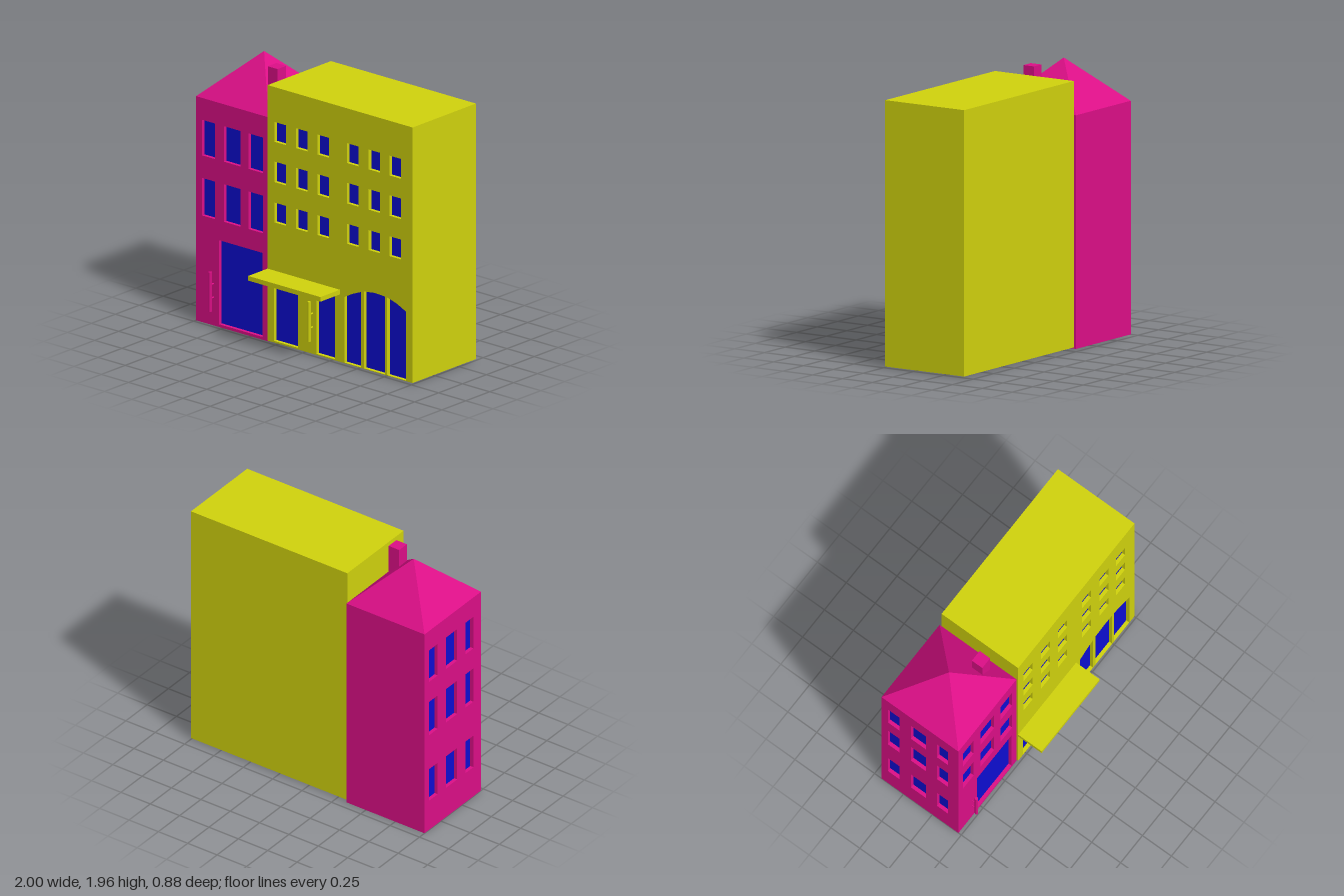
import * as THREE from 'three';

const mat = (name, color) => {
  const m = new THREE.MeshStandardMaterial({ color });
  m.name = name;
  return m;
};

export function createModel() {
  const model = new THREE.Group();
  const pink = mat('pink wall', 0xdc0f87);
  const yellow = mat('yellow wall', 0xd0d20d);
  const blue = mat('blue glass', 0x0d0dd2);
  const RECESS = 0.03;

  const add = (parent, name, geometry, material) => {
    const mesh = new THREE.Mesh(geometry, material);
    mesh.name = name;
    parent.add(mesh);
    return mesh;
  };
  // Box given by its min and max corners
  const box = (parent, name, material, x0, x1, y0, y1, z0, z1) => {
    const mesh = add(parent, name, new THREE.BoxGeometry(x1 - x0, y1 - y0, z1 - z0), material);
    mesh.position.set((x0 + x1) / 2, (y0 + y1) / 2, (z0 + z1) / 2);
    return mesh;
  };
  const rect = (x0, x1, y0, y1) => [[x0, y0], [x1, y0], [x1, y1], [x0, y1]];
  const toPoints = (outline) => outline.map(([x, y]) => new THREE.Vector2(x, y));

  // Wall slab with openings cut through and a glass pane at the back of each
  const facade = (name, outline, openings, material) => {
    const group = new THREE.Group();
    group.name = name;
    const shape = new THREE.Shape(toPoints(outline));
    openings.forEach((o) => shape.holes.push(new THREE.Path(toPoints(o))));
    add(group, 'wall', new THREE.ExtrudeGeometry(shape, { depth: RECESS, bevelEnabled: false }), material);
    openings.forEach((o) => {
      const pane = add(group, 'pane', new THREE.ShapeGeometry(new THREE.Shape(toPoints(o))), blue);
      pane.position.z = 0.003;
    });
    model.add(group);
    return group;
  };
  // Every column crossed with every row
  const grid = (columns, rows) =>
    rows.flatMap(([y0, y1]) => columns.map(([x0, x1]) => rect(x0, x1, y0, y1)));

  // Upright door handle on two brackets
  const handle = (name, x, wallZ, material) => {
    const group = new THREE.Group();
    group.name = name;
    const bar = add(group, 'bar', new THREE.CylinderGeometry(0.012, 0.012, 0.29, 12), material);
    bar.position.set(x, 0.255, wallZ + 0.035);
    for (const y of [0.205, 0.305]) {
      const bracket = add(group, 'bracket', new THREE.CylinderGeometry(0.007, 0.007, 0.035, 8), material);
      bracket.rotation.x = Math.PI / 2;
      bracket.position.set(x, y, wallZ + 0.0175);
    }
    model.add(group);
  };

  // Pink house
  const pinkRows = [[0.78, 1.055], [1.22, 1.48]];
  box(model, 'pinkHouseBody', pink, -1 + RECESS, -0.335, 0, 1.64, -0.44, 0.225 - RECESS);
  facade('pinkHouseFront', rect(-1, -0.335, 0, 1.64), [
    ...grid([[-0.945, -0.825], [-0.745, -0.59], [-0.52, -0.385]], pinkRows),
    rect(-0.79, -0.39, 0.02, 0.635),
  ], pink).position.z = 0.225 - RECESS;

  const side = facade('pinkHouseSide', rect(-0.44, 0.225 - RECESS, 0, 1.64),
    grid([[-0.385, -0.285], [-0.185, -0.055], [0.04, 0.135]], [[0.24, 0.5], ...pinkRows]), pink);
  side.rotation.y = -Math.PI / 2;
  side.position.x = -1 + RECESS;

  // Four-sided roof and chimney
  const roofGeometry = new THREE.ConeGeometry(0.665 / Math.SQRT2, 0.32, 4).toNonIndexed();
  roofGeometry.rotateY(Math.PI / 4);
  roofGeometry.computeVertexNormals();
  add(model, 'roof', roofGeometry, pink).position.set(-0.6675, 1.8, -0.1075);
  box(model, 'chimney', pink, -0.495, -0.405, 1.6, 1.93, -0.04, 0.05);
  handle('pinkDoorHandle', -0.84, 0.225, pink);

  // Yellow building
  box(model, 'yellowBuildingBody', yellow, -0.332, 1, 0.01, 1.88, -0.425, 0.237 - RECESS);
  const columns = [-0.27, -0.07, 0.125, 0.397, 0.597, 0.787].map((x) => [x, x + 0.105]);
  facade('yellowBuildingFront', rect(-0.332, 1, 0.01, 1.88), [
    ...grid(columns, [[0.89, 1.035], [1.185, 1.335], [1.48, 1.625]]),
    rect(-0.275, -0.055, 0.022, 0.48),
    rect(0.115, 0.285, 0.018, 0.485),
    // Three-part arched shop window
    [[0.375, 0.014], [0.525, 0.014], [0.525, 0.565], [0.45, 0.535], [0.375, 0.495]],
    [[0.552, 0.014], [0.745, 0.014], [0.745, 0.584], [0.65, 0.588], [0.552, 0.576]],
    [[0.767, 0.014], [0.94, 0.014], [0.94, 0.518], [0.855, 0.557], [0.767, 0.582]],
  ], yellow).position.z = 0.237 - RECESS;
  box(model, 'awning', yellow, -0.332, 0.332, 0.503, 0.537, 0.23, 0.44);
  handle('yellowDoorHandle', 0.08, 0.237, yellow);

  return model;
}
